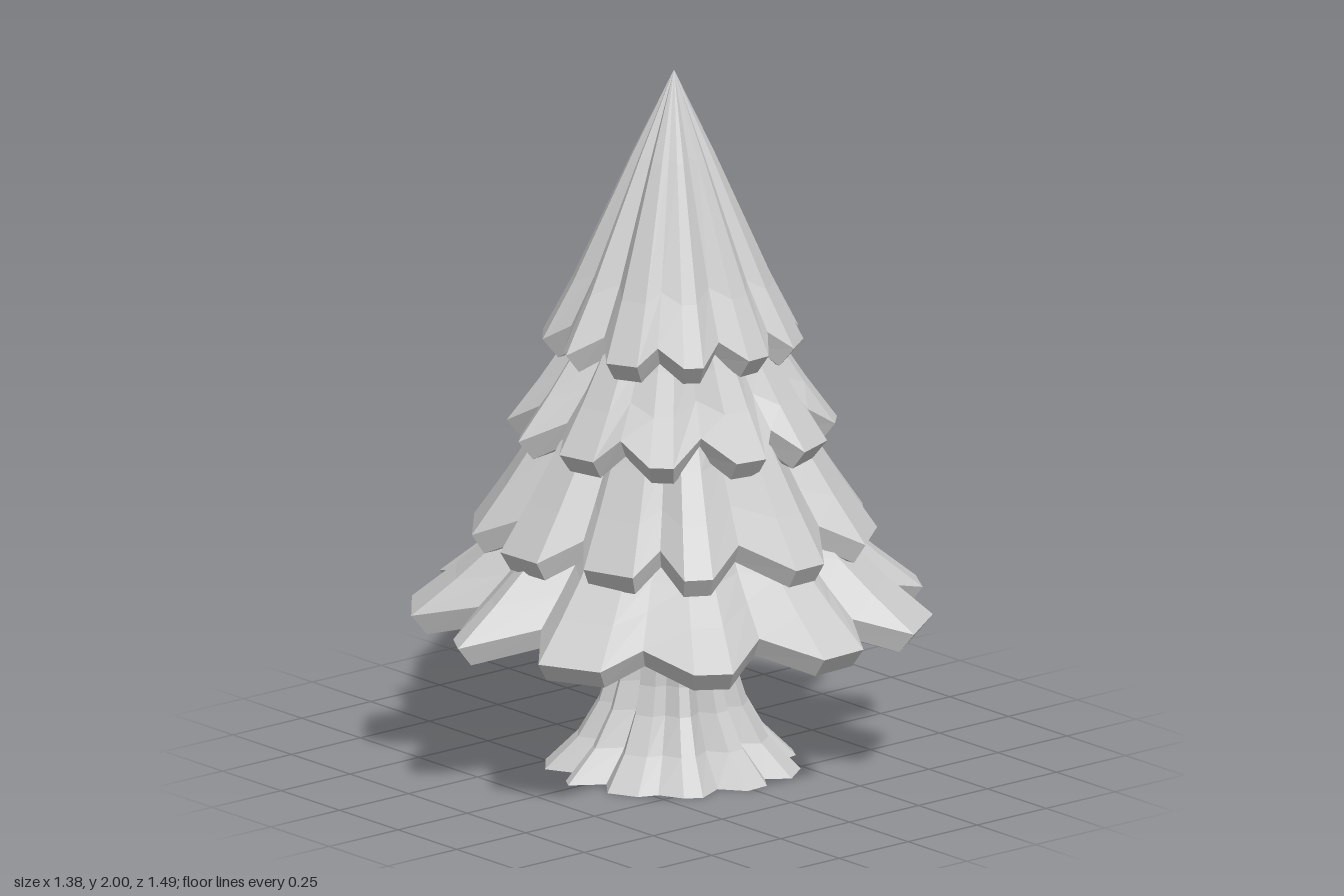
import * as THREE from 'three';

// Rim outlines (x, z): eleven lobes, each two tips then a notch.
const OUTLINE = [
  [-0.26, -0.68], [-0.03, -0.745], [0.07, -0.57],
  [0.22, -0.69], [0.32, -0.63], [0.34, -0.46],
  [0.54, -0.48], [0.66, -0.31], [0.55, -0.18],
  [0.68, -0.11], [0.69, 0.04], [0.53, 0.14],
  [0.63, 0.32], [0.57, 0.41], [0.41, 0.46],
  [0.38, 0.59], [0.21, 0.67], [0.07, 0.54],
  [-0.05, 0.74], [-0.13, 0.69], [-0.21, 0.53],
  [-0.38, 0.63], [-0.53, 0.5], [-0.48, 0.31],
  [-0.67, 0.28], [-0.69, 0.12], [-0.56, 0.02],
  [-0.69, -0.15], [-0.68, -0.26], [-0.49, -0.28],
  [-0.51, -0.48], [-0.42, -0.56], [-0.26, -0.5],
];
const LOWER_OUTLINE = [
  [-0.165, -0.525], [-0.01, -0.55], [0.07, -0.44],
  [0.18, -0.53], [0.24, -0.485], [0.27, -0.37],
  [0.385, -0.41], [0.5, -0.27], [0.43, -0.16],
  [0.565, -0.065], [0.57, 0.04], [0.43, 0.13],
  [0.485, 0.27], [0.445, 0.34], [0.33, 0.33],
  [0.33, 0.43], [0.18, 0.48], [0.12, 0.43],
  [0.05, 0.54], [-0.1, 0.545], [-0.15, 0.42],
  [-0.28, 0.495], [-0.44, 0.35], [-0.4, 0.21],
  [-0.51, 0.21], [-0.545, 0.1], [-0.45, 0.01],
  [-0.545, -0.13], [-0.53, -0.2], [-0.4, -0.22],
  [-0.4, -0.41], [-0.355, -0.455], [-0.21, -0.4],
];

// Joins scaled copies of an outline, from the bottom up.
// Each ring: [scale, y, lift of the notches, extra scale of the notches]
function loft(name, rings, outline = OUTLINE) {
  const pos = [];
  const loops = rings.map(([s, y, lift = 0, notch = 1]) =>
    outline.map(([x, z], i) => {
      const isNotch = i % 3 === 2;
      const k = isNotch ? s * notch : s;
      return [x * k, y + (isNotch ? lift : 0), z * k];
    }));
  const n = outline.length;
  for (let r = 0; r < rings.length - 1; r++) {
    const a = loops[r], b = loops[r + 1];
    for (let i = 0; i < n; i++) {
      const j = (i + 1) % n;
      if (rings[r][0] > 0) pos.push(...a[i], ...b[i], ...a[j]);
      if (rings[r + 1][0] > 0) pos.push(...b[i], ...b[j], ...a[j]);
    }
  }
  const geo = new THREE.BufferGeometry();
  geo.setAttribute('position', new THREE.Float32BufferAttribute(pos, 3));
  geo.computeVertexNormals();
  const mesh = new THREE.Mesh(geo, new THREE.MeshStandardMaterial({ color: 0xcccccc, flatShading: true }));
  mesh.name = name;
  return mesh;
}

// A tier of branches: closed underside, thick bevelled rim, then the slope.
function tier(name, scale, rimY, lift, notch, slope, outline) {
  return loft(name, [
    [0, rimY + 0.01],
    [scale * 0.3, rimY + 0.01, 0, 1.25],
    [scale - 0.06, rimY - 0.055, lift, notch],
    [scale, rimY, lift, notch],
    ...slope,
  ], outline);
}

export function createModel() {
  const tree = new THREE.Group();
  tree.name = 'pineTree';

  // Trunk flaring into ribbed roots
  tree.add(loft('trunk', [
    [0, 0], [0.49, 0, 0, 1.04], [0.365, 0.09, 0, 1.02], [0.285, 0.19],
    [0.25, 0.27], [0.242, 0.34], [0.265, 0.48], [0, 0.49],
  ]));

  // Branch tiers from the widest to the pointed crown
  tree.add(tier('lowestBranches', 1, 0.46, 0.045, 1,
    [[0.83, 0.56, 0.03, 1.03], [0.69, 0.65, 0.01, 1.08], [0.52, 0.79, 0, 1.15], [0, 0.8]]));
  tree.add(tier('lowerBranches', 1, 0.69, 0.06, 1,
    [[0.84, 0.82, 0.03, 1.03], [0.69, 0.95, 0.01, 1.05], [0.57, 1.06, 0, 1.1], [0, 1.07]],
    LOWER_OUTLINE));

  // This tier is turned so its lobes sit over the notches below
  const upper = tier('upperBranches', 0.63, 0.98, 0.06, 1.04,
    [[0.51, 1.1, 0.03, 1.04], [0.41, 1.21, 0.01, 1.06], [0.32, 1.32, 0, 1.1], [0, 1.33]]);
  upper.rotation.y = -THREE.MathUtils.degToRad(13.5);
  tree.add(upper);

  tree.add(tier('crown', 0.5, 1.24, 0.05, 1.05,
    [[0.385, 1.4, 0.03, 1.05], [0.16, 1.76, 0.01, 1.05], [0, 2]]));

  return tree;
}
